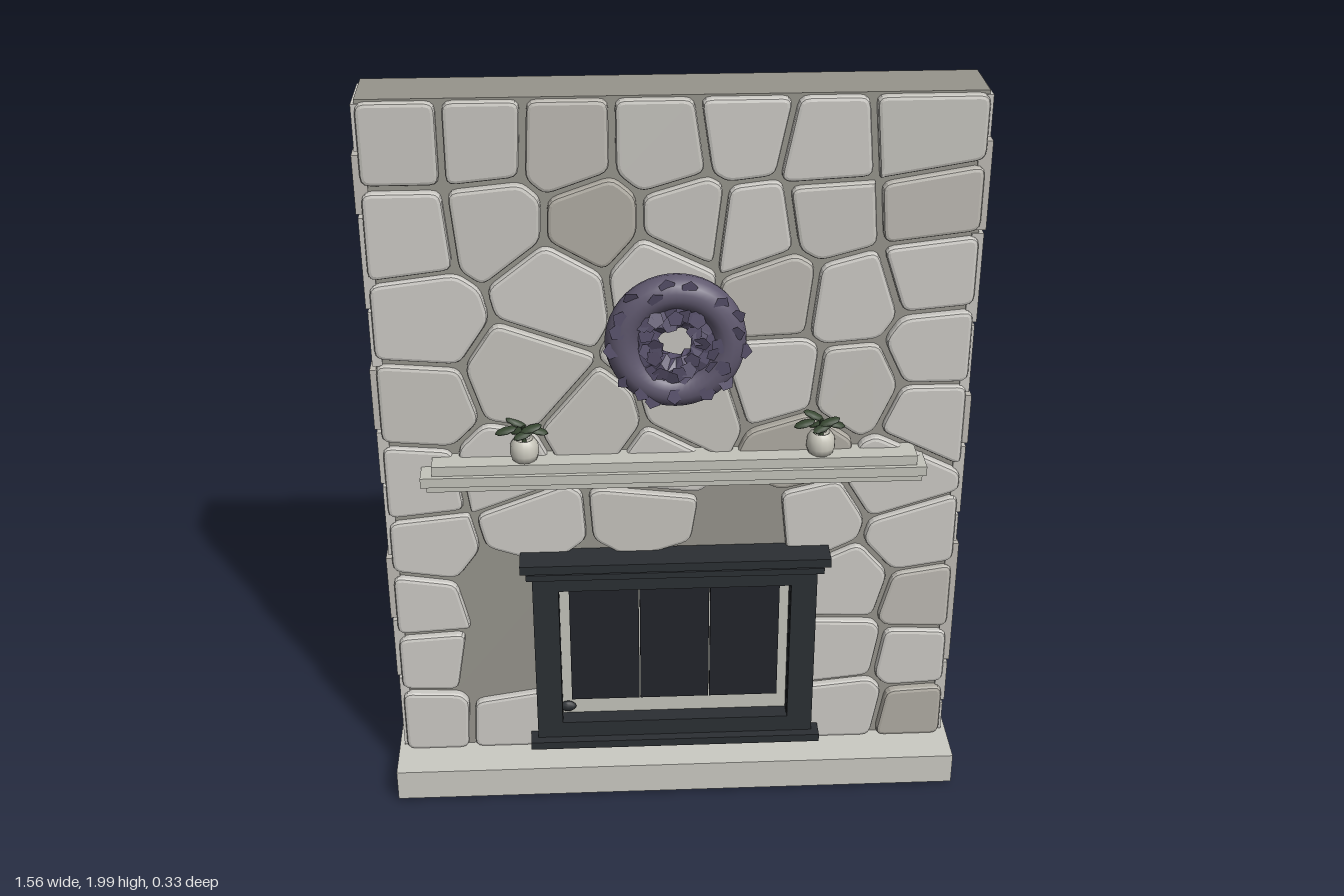
import * as THREE from 'three';

const mat = (color, extra = {}) => new THREE.MeshStandardMaterial({ color, ...extra });
const M = {
  core: mat(0x96948c), hearth: mat(0xcbcac3), iron: mat(0x2b2f33), glass: mat(0x22242a),
  back: mat(0x17181a), mantel: mat(0xc4c4bb), pot: mat(0xc9c7bc), leaf: mat(0x35452f),
  wreath: mat(0x5f586e), wreathBits: mat(0x57506a, { flatShading: true, side: THREE.DoubleSide }),
  stones: [0xcccac5, 0xc6c4be, 0xbdbab3, 0xb0aca3].map((c) => mat(c)),
};

let seed = 7;
const rnd = () => (seed = (seed * 16807) % 2147483647) / 2147483647;

function add(parent, name, geo, material, x = 0, y = 0, z = 0) {
  const m = new THREE.Mesh(geo, material);
  m.name = name;
  m.position.set(x, y, z);
  parent.add(m);
  return m;
}

// box given by its limits
function box(parent, name, material, x0, x1, y0, y1, z0, z1) {
  return add(parent, name, new THREE.BoxGeometry(x1 - x0, y1 - y0, z1 - z0), material,
    (x0 + x1) / 2, (y0 + y1) / 2, (z0 + z1) / 2);
}

function group(parent, name) {
  const g = new THREE.Group();
  g.name = name;
  parent.add(g);
  return g;
}

// centres of the facing stones
const stoneSeeds = [
  -.66, 1.88, -.46, 1.88, -.27, 1.87, -.03, 1.87, .17, 1.9, .37, 1.86, .6, 1.88,
  -.66, 1.66, -.44, 1.68, -.2, 1.67, .03, 1.67, .2, 1.65, .38, 1.68, .63, 1.7,
  -.63, 1.42, -.3, 1.5, -.04, 1.53, .26, 1.48, .44, 1.46, .65, 1.53, 0, 1.33,
  -.65, 1.18, -.39, 1.26, -.2, 1.1, .04, 1.16, .27, 1.23, .46, 1.21, .67, 1.31, .67, 1.12,
  -.67, .95, -.45, .98, -.05, 1, .33, 1.03, .58, .94,
  -.65, .76, -.39, .82, -.07, .84, .38, .82, .64, .75,
  -.68, .57, -.67, .4, -.68, .19, -.46, .18,
  .48, .61, .67, .56, .47, .39, .66, .36, .49, .2, .67, .17,
];
// bare places: missing stones and the area behind the firebox
const bareSeeds = [.19, .8, -.49, .37, -.46, .62, -.22, .15, 0, .15, .22, .15,
  -.22, .38, 0, .38, .22, .38, -.22, .6, 0, .62, .22, .6];

// keep the part of a polygon where n . p <= d
function clip(poly, nx, ny, d) {
  const out = [];
  poly.forEach((a, i) => {
    const b = poly[(i + 1) % poly.length];
    const da = nx * a.x + ny * a.y - d, db = nx * b.x + ny * b.y - d;
    if (da <= 0) out.push(a);
    if (da * db < 0) out.push(a.clone().lerp(b, da / (da - db)));
  });
  return out;
}

function stoneFacing(parent) {
  const g = group(parent, 'stoneFacing');
  const all = [...stoneSeeds, ...bareSeeds], n = all.length / 2, gap = 0.008;
  for (let i = 0; i < stoneSeeds.length / 2; i++) {
    const cx = all[2 * i], cy = all[2 * i + 1];
    let poly = [[-.757, .1], [.757, .1], [.757, 1.985], [-.757, 1.985]].map((p) => new THREE.Vector2(...p));
    for (let j = 0; j < n; j++) {
      if (j === i) continue;
      const dx = all[2 * j] - cx, dy = all[2 * j + 1] - cy, len = Math.hypot(dx, dy);
      const nx = dx / len, ny = dy / len;
      poly = clip(poly, nx, ny, nx * cx + ny * cy + len / 2 - gap);
    }
    if (poly.length < 3) continue;
    // outline with softened corners
    const shape = new THREE.Shape();
    poly.forEach((p, k) => {
      const q = poly[(k + poly.length - 1) % poly.length], r = poly[(k + 1) % poly.length];
      const t = (o) => p.clone().lerp(o, Math.min(0.3, 0.025 / p.distanceTo(o)));
      const a = t(q), b = t(r);
      if (k) shape.lineTo(a.x, a.y); else shape.moveTo(a.x, a.y);
      shape.quadraticCurveTo(p.x, p.y, b.x, b.y);
    });
    shape.closePath();
    const geo = new THREE.ExtrudeGeometry(shape, {
      depth: 0.014 + rnd() * 0.007, bevelThickness: 0.008, bevelSize: 0.01, bevelOffset: -0.01,
      bevelSegments: 2, curveSegments: 3,
    });
    add(g, 'facingStone', geo, M.stones[Math.floor(rnd() * rnd() * 4)], 0, 0, 0.033);
  }
}

// stacked slabs on both sides of the chimney
function sideStones(parent) {
  const joints = { 1: [.1, .2, .34, .73, .82, 1.03, 1.18, 1.38, 1.63, 1.87, 1.985],
    '-1': [.1, .34, .53, .73, .95, 1.11, 1.29, 1.45, 1.7, 1.86, 1.985] };
  for (const s of [1, -1]) {
    const g = group(parent, s > 0 ? 'leftSideStones' : 'rightSideStones');
    const ys = joints[s];
    for (let i = 0; i + 1 < ys.length; i++) {
      const out = 0.766 + (i % 3) * 0.004;
      const m = box(g, 'sideStone', M.stones[i % 3], .74, out, ys[i] + .005, ys[i + 1] - .005, -.125, .042);
      m.position.x *= s;
    }
  }
}

function hearth(parent) {
  const g = group(parent, 'hearth');
  box(g, 'hearthSlab', M.hearth, -.78, .78, .03, .1, -.165, .165);
  // hollow rim underneath
  const rect = (T, w, h) => new T([[-w, -h], [w, -h], [w, h], [-w, h]].map((p) => new THREE.Vector2(...p)));
  const rim = rect(THREE.Shape, .78, .165);
  rim.holes.push(rect(THREE.Path, .74, .13));
  const geo = new THREE.ExtrudeGeometry(rim, { depth: .02, bevelEnabled: false }).rotateX(-Math.PI / 2);
  add(g, 'hearthRim', geo, M.hearth, 0, .01, 0);
  for (const x of [-.68, .65]) box(g, 'foot', M.core, x - .015, x + .015, 0, .03, -.02, .02);
}

function firebox(parent) {
  const g = group(parent, 'firebox');
  box(g, 'topLedge', M.iron, -.415, .415, .715, .74, .04, .13);
  box(g, 'topMoulding', M.iron, -.4, .4, .685, .703, .04, .115);
  box(g, 'header', M.iron, -.385, .385, .635, .716, .04, .09);
  box(g, 'bottomRail', M.iron, -.385, .385, .15, .2, .04, .09);
  box(g, 'bottomLedge', M.iron, -.405, .405, .128, .151, .05, .115);
  for (const s of [-1, 1]) {
    box(g, 'sidePost', M.iron, s * .35 - .035, s * .35 + .035, .2, .635, .04, .09);
    box(g, 'innerPost', M.iron, s * .324 - .01, s * .324 + .01, .2, .635, .04, .075);
  }
  box(g, 'innerSurround', M.mantel, -.315, .315, .2, .635, .034, .042);
  for (let i = -1; i <= 1; i++) {
    box(g, 'glassPanel', M.glass, i * .193 - .095, i * .193 + .095, .25, .635, .034, .05);
  }
  const knob = add(g, 'gasKnob', new THREE.SphereGeometry(.02, 8, 6), M.iron, -.3, .228, .05);
  knob.scale.set(1.2, .8, .6);
}

function mantel(parent) {
  const g = group(parent, 'mantel');
  box(g, 'mantelTop', M.mantel, -.63, .63, 1.008, 1.037, .03, .11);
  box(g, 'mantelShelf', M.mantel, -.66, .655, .983, 1.01, .03, .122);
  box(g, 'mantelLip', M.mantel, -.645, .645, .966, .984, .03, .115);
}

function pottedPlant(parent, x) {
  const g = group(parent, 'pottedPlant');
  g.position.set(x, 1.036, .072);
  const profile = [[0, 0], [.032, 0], [.038, .02], [.036, .045], [.026, .06], [.022, .06], [.018, .05], [0, .05]];
  add(g, 'pot', new THREE.LatheGeometry(profile.map((p) => new THREE.Vector2(...p)), 16), M.pot);
  const leafGeo = new THREE.SphereGeometry(1, 8, 5);
  const leaves = [[-.045, .088, .01, .15], [-.02, .102, -.01, -.35], [.02, .092, .01, .2],
    [.035, .078, -.005, -.25], [0, .08, .02, .1], [-.015, .075, -.015, .5]];
  for (const [lx, ly, lz, tilt] of leaves) {
    const m = add(g, 'leaf', leafGeo, M.leaf, lx, ly, lz);
    m.scale.set(.03, .006, .014);
    m.rotation.set(.3, lz * 25, tilt);
  }
  add(g, 'stem', new THREE.CylinderGeometry(.005, .007, .05, 6), M.leaf, 0, .07, 0);
}

function wreath(parent) {
  const g = group(parent, 'wreath');
  g.position.set(0, 1.38, .105);
  const ring = add(g, 'wreathRing', new THREE.TorusGeometry(.133, .045, 14, 48), M.wreath);
  ring.name = 'wreathRing';
  // crumpled inner ring
  const inner = new THREE.TorusGeometry(.077, .038, 7, 20), p = inner.attributes.position;
  for (let i = 0; i < p.count; i++) {
    const x = p.getX(i), y = p.getY(i), z = p.getZ(i);
    const a = Math.atan2(y, x), k = 1 + .1 * Math.sin(a * 7 + z * 60) ;
    p.setXYZ(i, x * k, y * k, z * .8 + .006 * Math.sin(a * 9));
  }
  inner.computeVertexNormals();
  add(g, 'innerRing', inner, M.wreathBits);
  // loose petals around the front and rim
  const petal = new THREE.CircleGeometry(.022, 5);
  for (let i = 0; i < 44; i++) {
    const a = i * 2.399, r = i < 26 ? .05 + rnd() * .06 : .13 + rnd() * .04;
    const z = i < 26 ? .03 + rnd() * .012 : Math.sqrt(Math.max(0, .045 ** 2 - (r - .133) ** 2)) + .002;
    const m = add(g, 'petal', petal, M.wreathBits, r * Math.cos(a), r * Math.sin(a), z);
    m.rotation.set((rnd() - .5) * .7, (rnd() - .5) * .7, a);
  }
}

export function createModel() {
  const root = new THREE.Group();
  root.name = 'stoneFireplace';
  box(root, 'chimneyCore', M.core, -.758, .758, .1, 1.99, -.13, .036);
  box(root, 'backPanel', M.back, -.32, .32, .2, .7, -.153, -.128);
  stoneFacing(root);
  sideStones(root);
  hearth(root);
  firebox(root);
  mantel(root);
  for (const x of [-.39, .38]) pottedPlant(root, x);
  wreath(root);
  return root;
}
